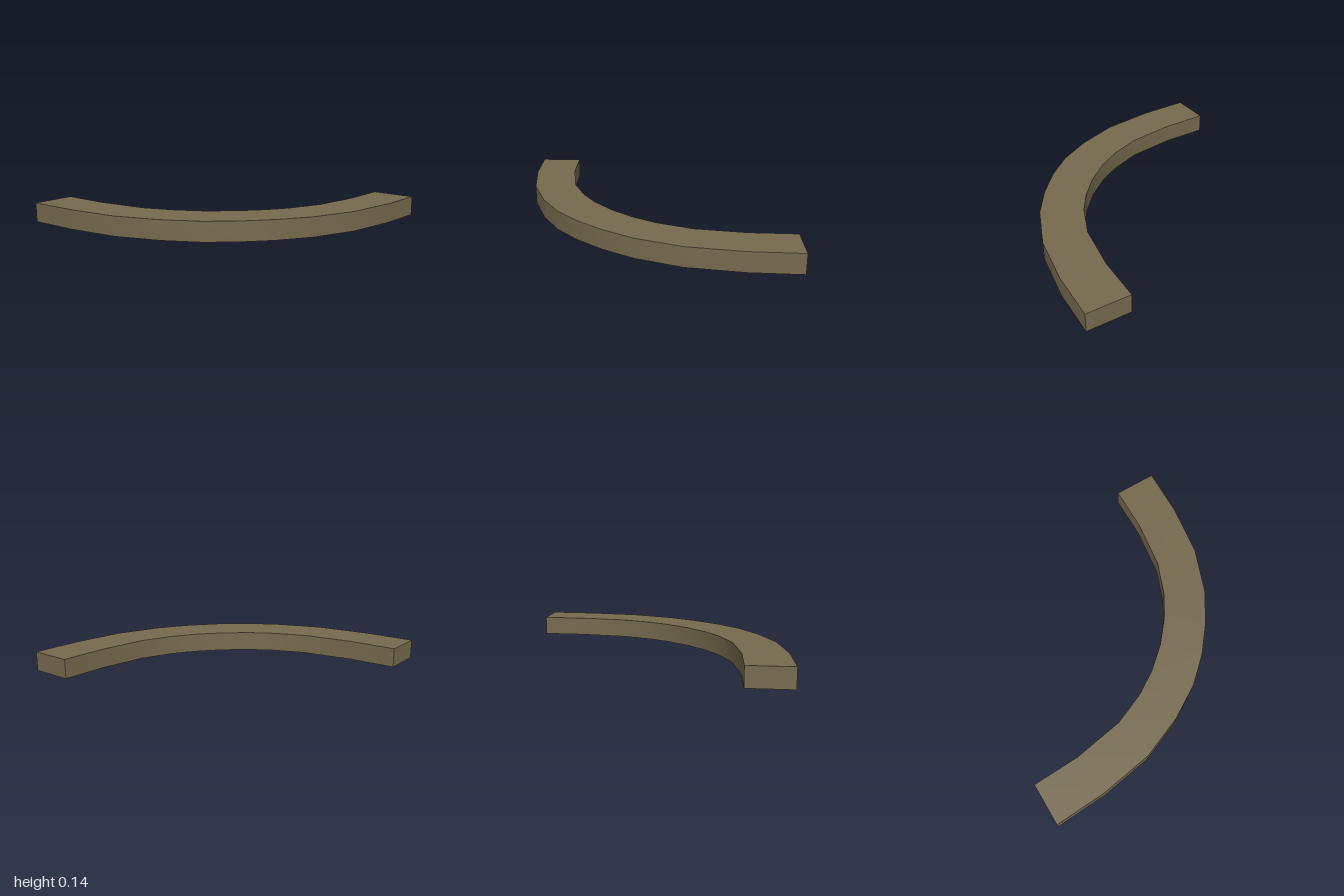
import * as THREE from 'three';

const HEIGHT = 0.14;

// Plan outline as [x, z] pairs, running from the back end to the side end
const OUTER = [[-0.985, -1], [-0.97, -0.62], [-0.91, -0.23], [-0.79, 0.08], [-0.65, 0.32], [-0.49, 0.5],
  [-0.3, 0.66], [-0.08, 0.8], [0.24, 0.925], [0.62, 0.985], [0.98, 1]];
const INNER = [[-0.675, -1], [-0.665, -0.65], [-0.605, -0.28], [-0.51, -0.05], [-0.41, 0.115], [-0.265, 0.285],
  [-0.1, 0.425], [0.05, 0.52], [0.295, 0.62], [0.65, 0.675], [0.98, 0.685]];

const atHeight = (points, y) => points.map(([x, z]) => [x, y, z]);

// Smooth strip of quads between two matching rows of points
function ribbon(rowA, rowB) {
  const n = rowA.length;
  const index = [];
  for (let i = 0; i < n - 1; i++) {
    index.push(i, i + 1, n + i, i + 1, n + i + 1, n + i);
  }
  const geometry = new THREE.BufferGeometry();
  geometry.setAttribute('position', new THREE.Float32BufferAttribute([...rowA, ...rowB].flat(), 3));
  geometry.setIndex(index);
  geometry.computeVertexNormals();
  return geometry;
}

// Upright sheet following a plan line
const wall = (points) => ribbon(atHeight(points, 0), atHeight(points, HEIGHT));

export function createModel() {
  const model = new THREE.Group();
  model.name = 'curvedChannel';
  const brown = new THREE.MeshStandardMaterial({ color: 0x766a4e, side: THREE.DoubleSide });
  brown.name = 'earthBrown';

  const add = (name, geometry) => {
    const mesh = new THREE.Mesh(geometry, brown);
    mesh.name = name;
    model.add(mesh);
  };

  // Top deck and the two curved side walls; the underside stays open
  add('topDeck', ribbon(atHeight(OUTER, HEIGHT), atHeight(INNER, HEIGHT)));
  add('outerWall', wall(OUTER));
  add('innerWall', wall([...INNER].reverse()));

  // End caps
  const last = OUTER.length - 1;
  add('backEnd', wall([INNER[0], OUTER[0]]));
  add('sideEnd', wall([OUTER[last], INNER[last]]));

  // Cross ribs hidden beneath the deck
  for (const i of [3, 7]) add('crossRib', wall([OUTER[i], INNER[i]]));

  return model;
}
